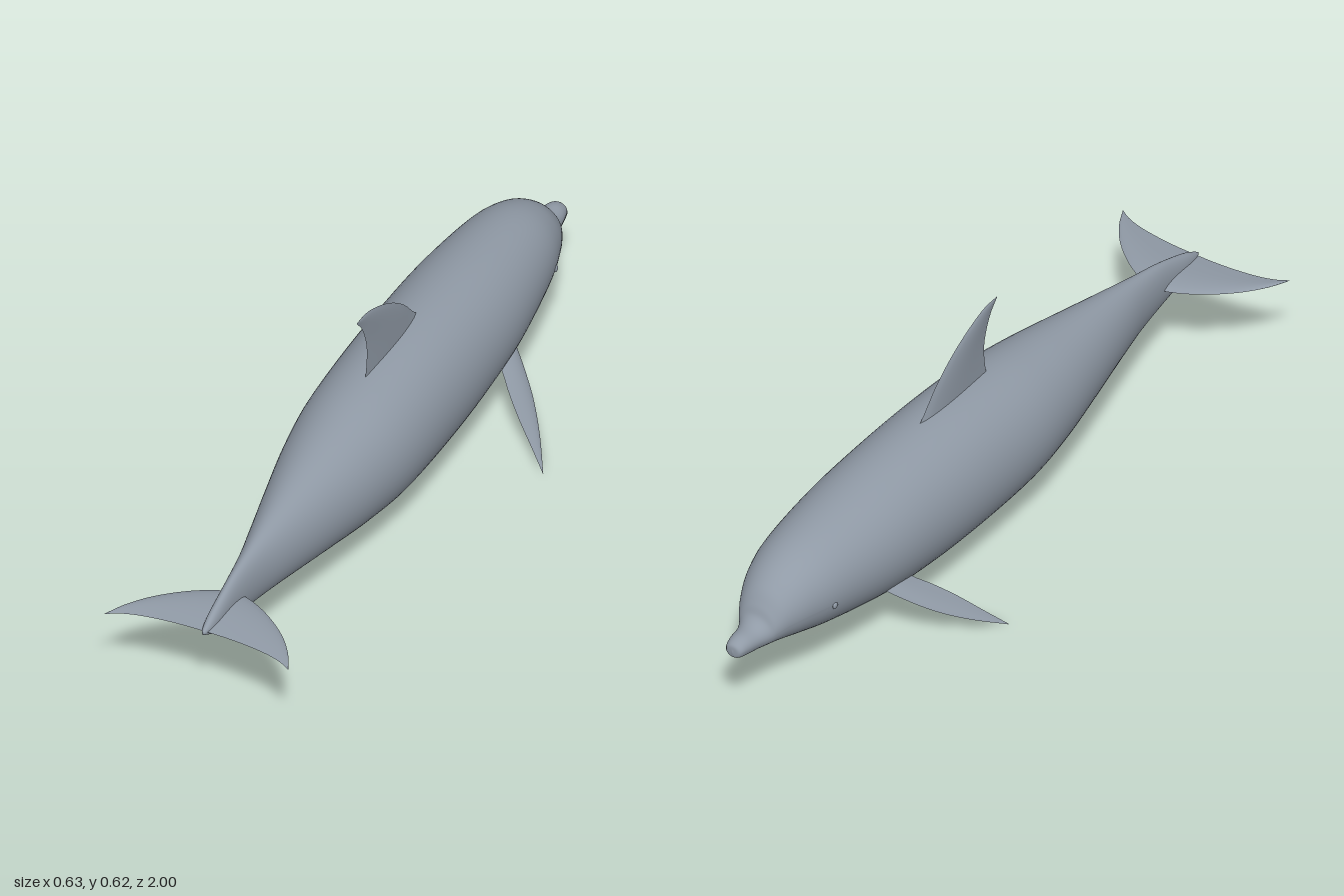
import * as THREE from 'three';

const skin = new THREE.MeshStandardMaterial({ color: 0x909aa6, side: THREE.DoubleSide });
skin.name = 'grey skin';

// Smooth surface from a rule; wrap joins the last column to the first
function grid(nu, nv, rule, wrap = false) {
  const cols = wrap ? nv : nv + 1, pos = [], idx = [];
  for (let i = 0; i <= nu; i++)
    for (let j = 0; j < cols; j++) pos.push(...rule(i / nu, j / nv));
  for (let i = 0; i < nu; i++)
    for (let j = 0; j < nv; j++) {
      const k = (j + 1) % cols;
      const a = i * cols + j, b = i * cols + k, c = a + cols, d = b + cols;
      idx.push(a, b, c, b, d, c);
    }
  const g = new THREE.BufferGeometry();
  g.setAttribute('position', new THREE.Float32BufferAttribute(pos, 3));
  g.setIndex(idx);
  g.computeVertexNormals();
  return g;
}

function part(name, geometry) {
  const m = new THREE.Mesh(geometry, skin);
  m.name = name;
  return m;
}

// Body stations from beak to tail: z, top, bottom, half width
const stations = [
  [-1, 0.218, 0.212, 0], [-0.995, 0.235, 0.2, 0.021], [-0.97, 0.246, 0.194, 0.03],
  [-0.93, 0.25, 0.188, 0.037], [-0.905, 0.264, 0.184, 0.047], [-0.89, 0.293, 0.182, 0.058],
  [-0.86, 0.332, 0.177, 0.076], [-0.8, 0.371, 0.163, 0.102], [-0.7, 0.399, 0.139, 0.128],
  [-0.5, 0.421, 0.1, 0.154], [-0.3, 0.433, 0.078, 0.162], [-0.1, 0.436, 0.072, 0.163],
  [0.1, 0.426, 0.08, 0.157], [0.25, 0.409, 0.1, 0.137], [0.4, 0.387, 0.126, 0.106],
  [0.6, 0.355, 0.162, 0.06], [0.7, 0.338, 0.179, 0.038], [0.8, 0.319, 0.197, 0.024],
  [0.9, 0.288, 0.221, 0.017], [0.945, 0.267, 0.243, 0.009], [0.962, 0.256, 0.254, 0],
];
const profile = new THREE.CatmullRomCurve3(
  stations.map(s => new THREE.Vector3(s[0], s[1], s[2])), false, 'catmullrom', 0.5);
const widths = new THREE.CatmullRomCurve3(
  stations.map(s => new THREE.Vector3(s[0], s[3], 0)), false, 'catmullrom', 0.5);

function bodyPoint(t, angle, offset = 0) {
  const p = profile.getPoint(t), w = Math.max(0, widths.getPoint(t).y);
  return [
    (w + offset) * Math.cos(angle),
    (p.y + p.z) / 2 + ((p.y - p.z) / 2 + offset) * Math.sin(angle),
    p.x,
  ];
}

// Lens-section fin between a leading and a trailing edge, root first
function fin(lead, trail, normal, thickness) {
  const curve = pts => new THREE.CatmullRomCurve3(pts.map(p => new THREE.Vector3(...p)));
  const a = curve(lead), b = curve(trail), n = new THREE.Vector3(...normal).normalize();
  const group = new THREE.Group();
  for (const side of [1, -1]) {
    const g = grid(24, 14, (u, q) => {
      const v = side > 0 ? q : 1 - q;
      const half = thickness * (1 - u) ** 0.7 * Math.sin(Math.PI * v ** 0.7);
      return a.getPoint(u).lerp(b.getPoint(u), v).addScaledVector(n, side * half).toArray();
    });
    group.add(part('finSide', g));
  }
  return group;
}

export function createModel() {
  const model = new THREE.Group();
  model.name = 'dolphin';
  model.add(part('body', grid(120, 56, (u, v) => bodyPoint(u, v * Math.PI * 2), true)));

  // Lower jaw: thin shell under the mouth line, blending into the throat
  model.add(part('lowerJaw', grid(40, 28, (u, v) => {
    const t = 0.004 + u * 0.375;
    const a = Math.PI * (1.04 + 0.92 * v);
    return bodyPoint(t, a, 0.002 * (1 - u));
  })));

  // Dorsal fin
  const dorsal = fin(
    [[0, 0.39, -0.27], [0, 0.44, -0.205], [0, 0.505, -0.145], [0, 0.56, -0.075],
      [0, 0.603, 0.005], [0, 0.624, 0.065], [0, 0.627, 0.115]],
    [[0, 0.39, 0.08], [0, 0.43, 0.068], [0, 0.475, 0.061], [0, 0.515, 0.061],
      [0, 0.555, 0.071], [0, 0.595, 0.09], [0, 0.625, 0.115]],
    [1, 0, 0], 0.011);
  dorsal.name = 'dorsalFin';
  model.add(dorsal);

  for (const s of [1, -1]) {
    const name = s > 0 ? 'left' : 'right';

    // Tail fluke
    const fluke = fin(
      [[0, 0.256, 0.772], [s * 0.06, 0.256, 0.795], [s * 0.12, 0.256, 0.832],
        [s * 0.18, 0.256, 0.885], [s * 0.222, 0.256, 0.94], [s * 0.25, 0.256, 0.995]],
      [[0, 0.256, 0.95], [s * 0.06, 0.256, 0.951], [s * 0.12, 0.256, 0.956],
        [s * 0.18, 0.256, 0.966], [s * 0.222, 0.256, 0.98], [s * 0.25, 0.256, 0.997]],
      [0, 1, 0], 0.01);
    fluke.name = name + 'Fluke';
    model.add(fluke);

    // Flipper, sloping down and out in one plane
    const onPlane = ([y, z]) => [s * (0.312 - (y - 0.003) * 1.2), y, z];
    const flipper = fin(
      [[0.2, -0.55], [0.16, -0.515], [0.125, -0.478], [0.088, -0.432], [0.045, -0.362], [0.002, -0.277]].map(onPlane),
      [[0.2, -0.45], [0.16, -0.425], [0.125, -0.385], [0.088, -0.348], [0.045, -0.312], [0.002, -0.275]].map(onPlane),
      [s * 1, 1.2, 0], 0.009);
    flipper.name = name + 'Flipper';
    model.add(flipper);

    // Small eye set into the side of the head
    const eye = part(name + 'Eye', new THREE.SphereGeometry(0.009, 16, 10));
    eye.scale.x = 0.5;
    eye.position.set(s * 0.12, 0.25, -0.735);
    model.add(eye);
  }
  return model;
}
